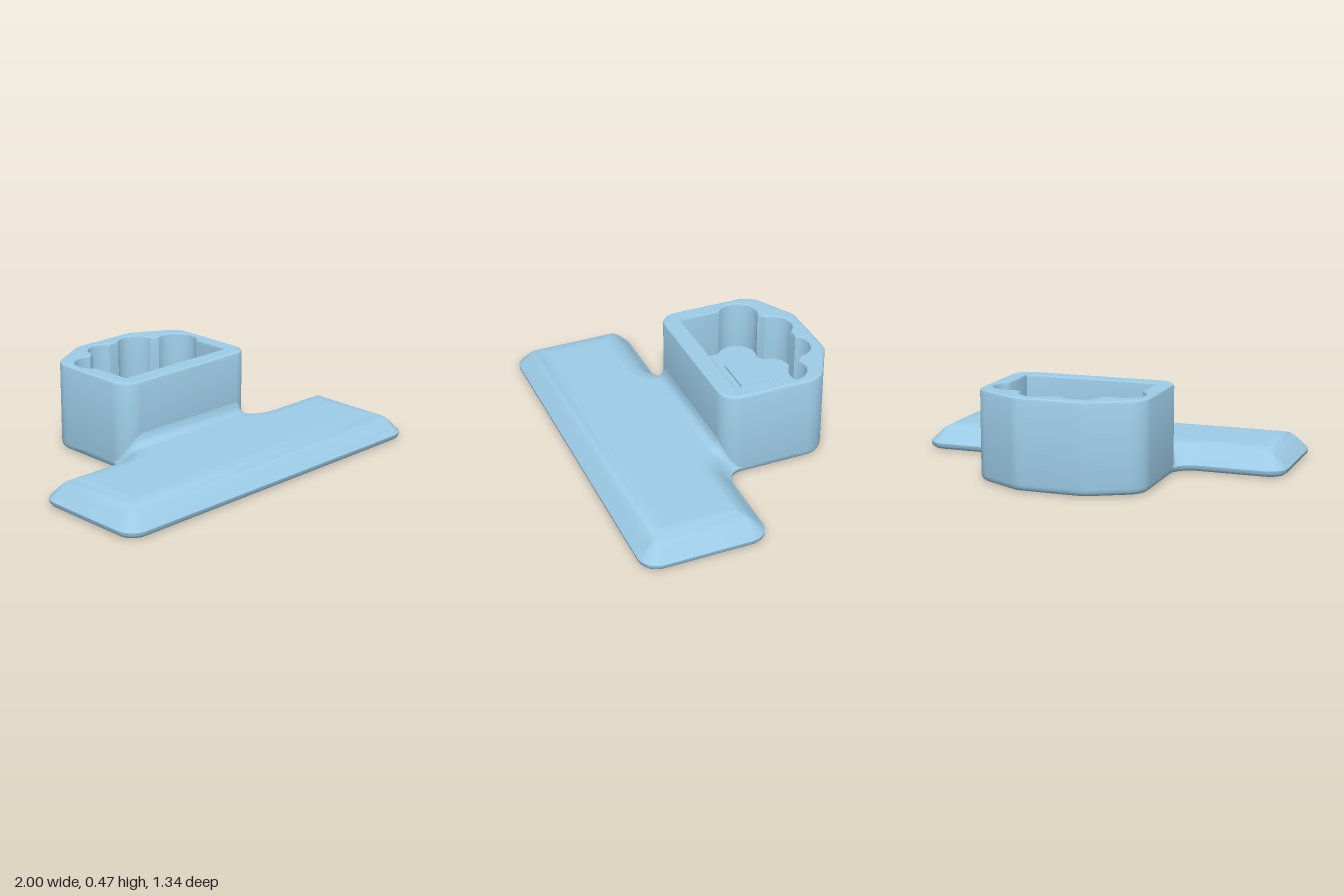
import * as THREE from 'three';
import { toCreasedNormals } from 'three/addons/utils/BufferGeometryUtils.js';

// Outlines are [x, v] points with v = -z, counter-clockwise from above.
const ARC = 10;
const mirror = half => [...half, ...half.map(([x, ...rest]) => [-x, ...rest]).reverse()];

// Polygon of [x, v, radius] corners, moved inward by d, with rounded corners.
function roundedOutline(corners, d) {
  const out = [], n = corners.length;
  const dir = (a, b) => {
    const l = Math.hypot(b[0] - a[0], b[1] - a[1]);
    return [(b[0] - a[0]) / l, (b[1] - a[1]) / l];
  };
  corners.forEach((p, i) => {
    const u = dir(corners[(i + n - 1) % n], p), w = dir(p, corners[(i + 1) % n]);
    const dot = u[0] * w[0] + u[1] * w[1];
    const turn = Math.atan2(u[0] * w[1] - u[1] * w[0], dot), s = Math.sign(turn);
    const r = Math.max(p[2] - s * d, 0.001), t = r * Math.tan(Math.abs(turn) / 2);
    const nu = [-u[1], u[0]], k = d / (1 + dot);
    const qx = p[0] + k * (nu[0] - w[1]), qy = p[1] + k * (nu[1] + w[0]);
    const cx = qx - u[0] * t + s * r * nu[0], cy = qy - u[1] * t + s * r * nu[1];
    for (let j = 0; j <= ARC; j++) {
      const a = Math.atan2(-s * nu[1], -s * nu[0]) + turn * j / ARC;
      out.push([cx + r * Math.cos(a), cy + r * Math.sin(a)]);
    }
  });
  return out;
}

// Push every outline point outward along its averaged normal.
function swell(points, d) {
  const n = points.length;
  return points.map(([x, v], i) => {
    const a = points[(i + n - 1) % n], b = points[(i + 1) % n];
    const l = Math.hypot(b[0] - a[0], b[1] - a[1]);
    return [x + d * (b[1] - a[1]) / l, v - d * (b[0] - a[0]) / l];
  });
}

const atHeight = (outline, y) => outline.map(([x, v]) => [x, y, -v]);

// Skin stacked rows of [x, y, z] points.
function loft(rows, closed = true) {
  const pos = [], n = rows[0].length;
  for (let i = 0; i + 1 < rows.length; i++) {
    for (let j = 0; j < (closed ? n : n - 1); j++) {
      const k = (j + 1) % n;
      const a = rows[i][j], b = rows[i][k], c = rows[i + 1][k], d = rows[i + 1][j];
      pos.push(...a, ...b, ...c, ...a, ...c, ...d);
    }
  }
  const g = new THREE.BufferGeometry();
  g.setAttribute('position', new THREE.Float32BufferAttribute(pos, 3));
  return toCreasedNormals(g, 0.65);
}

const toShape = points => new THREE.Shape(points.map(([x, v]) => new THREE.Vector2(x, v)));

// Flat face at height y, optionally with a hole or facing down.
function cap(outline, y, hole = null, down = false) {
  const shape = toShape(outline);
  if (hole) shape.holes.push(toShape(hole));
  const g = new THREE.ShapeGeometry(shape).rotateX(-Math.PI / 2).translate(0, y, 0);
  if (down) {
    const ix = g.index.array;
    for (let i = 0; i < ix.length; i += 3) [ix[i], ix[i + 1]] = [ix[i + 1], ix[i]];
    g.computeVertexNormals();
  }
  return g;
}

function arc(cx, cy, r, from, to, steps = 14) {
  return Array.from({ length: steps + 1 }, (_, i) => {
    const a = THREE.MathUtils.degToRad(from + (to - from) * i / steps);
    return [cx + r * Math.cos(a), cy + r * Math.sin(a)];
  });
}

// Edge profiles: [inset, height]
const plateProfile = [[0.03, 0], [0.018, 0.003], [0.008, 0.01], [0.002, 0.02], [0, 0.035],
  [0.055, 0.09], [0.075, 0.107], [0.1, 0.122], [0.13, 0.132], [0.165, 0.135]];
const blockProfile = [[0.03, 0], [0.018, 0.003], [0.008, 0.01], [0.002, 0.02], [0, 0.035],
  [0, 0.455], [0.004, 0.464], [0.015, 0.469]];

// Height of the plate's upper surface at an inset from its edge.
function plateHeight(inset) {
  const p = plateProfile.slice(4);
  for (let i = 1; i < p.length; i++) {
    if (inset <= p[i][0]) {
      const t = Math.max(0, (inset - p[i - 1][0]) / (p[i][0] - p[i - 1][0]));
      return p[i - 1][1] + t * (p[i][1] - p[i - 1][1]);
    }
  }
  return 0.135;
}

export function createModel() {
  const model = new THREE.Group();
  const material = new THREE.MeshStandardMaterial({ color: 0x9ccbe6, side: THREE.DoubleSide });
  const group = name => {
    const g = new THREE.Group();
    g.name = name;
    model.add(g);
    return g;
  };
  const add = (parent, name, geometry) => {
    const m = new THREE.Mesh(geometry, material);
    m.name = name;
    parent.add(m);
  };

  // Bevelled base plate with a filleted neck running into the block
  const plateCorners = mirror([[1, -0.665, 0.1], [1, -0.01, 0.1], [0.445, -0.01, 0.1], [0.445, 0.4, 0]]);
  const plateRows = plateProfile.map(([d]) => roundedOutline(plateCorners, d));
  const plate = group('basePlate');
  add(plate, 'plateEdge', loft(plateRows.map((o, i) => atHeight(o, plateProfile[i][1]))));
  add(plate, 'plateTop', cap(plateRows.at(-1), 0.135));
  add(plate, 'plateUnderside', cap(plateRows[0], 0, null, true));

  // Scalloped cavity outline
  const cavityOutline = mirror([[0.355, 0.085], [0.355, 0.3],
    ...arc(0.295, 0.39, 0.105, -54, 117), ...arc(0.108, 0.51, 0.1, 0, 141)]);
  const rim = swell(cavityOutline, 0.008);

  // Block with a chamfered back
  const blockCorners = mirror([[0.445, -0.015, 0.1], [0.445, 0.525, 0.13], [0.18, 0.67, 0.1]]);
  const blockRows = blockProfile.map(([d]) => roundedOutline(blockCorners, d));
  const block = group('block');
  add(block, 'blockWall', loft(blockRows.map((o, i) => atHeight(o, blockProfile[i][1]))));
  add(block, 'blockRim', cap(blockRows.at(-1), 0.469, rim));
  add(block, 'blockUnderside', cap(blockRows[0], 0, null, true));

  // Cavity walls and floor
  const floorY = 0.2;
  const cavity = group('cavity');
  add(cavity, 'cavityWall', loft([atHeight(rim, 0.469), atHeight(swell(cavityOutline, 0.002), 0.465),
    atHeight(cavityOutline, 0.458), atHeight(cavityOutline, floorY)]));
  add(cavity, 'cavityFloor', cap(cavityOutline, floorY));

  // Low scalloped pad on the cavity floor
  const padOutline = mirror([[0.225, 0.283], [0.225, 0.3], [0.205, 0.31], [0.195, 0.345], [0.175, 0.38],
    [0.15, 0.392], [0.115, 0.39], [0.08, 0.4], [0.05, 0.407], [0.03, 0.426], [0.01, 0.43]]);
  add(cavity, 'floorPad', new THREE.ExtrudeGeometry(toShape(padOutline), { depth: 0.012, bevelEnabled: false })
    .rotateX(-Math.PI / 2).translate(0, floorY, 0));

  // Cove between the block's front and the plate, fading out round the corners
  const front = o => {
    const p = roundedOutline(blockCorners, o);
    return [...p.slice(-ARC - 1), ...p.slice(0, ARC + 1)];
  };
  const inner = front(0), outer = front(-0.06);
  const coveRows = [];
  for (let i = 8; i >= 0; i--) {
    const s = i / 8;
    coveRows.push(inner.map(([x0, v0], j) => {
      const fade = Math.min(1, j / ARC, (2 * ARC + 1 - j) / ARC);
      const x = x0 + (outer[j][0] - x0) * s * fade, z = -(v0 + (outer[j][1] - v0) * s * fade);
      const inset = Math.hypot(Math.abs(x) - 0.545, z + 0.09) - 0.1;
      const rise = 0.06 * fade * (1 - Math.sqrt(1 - (1 - s) ** 2));
      return [x, plateHeight(inset) + rise + 0.001, z];
    }));
  }
  add(block, 'frontCove', loft(coveRows, false));

  return model;
}
